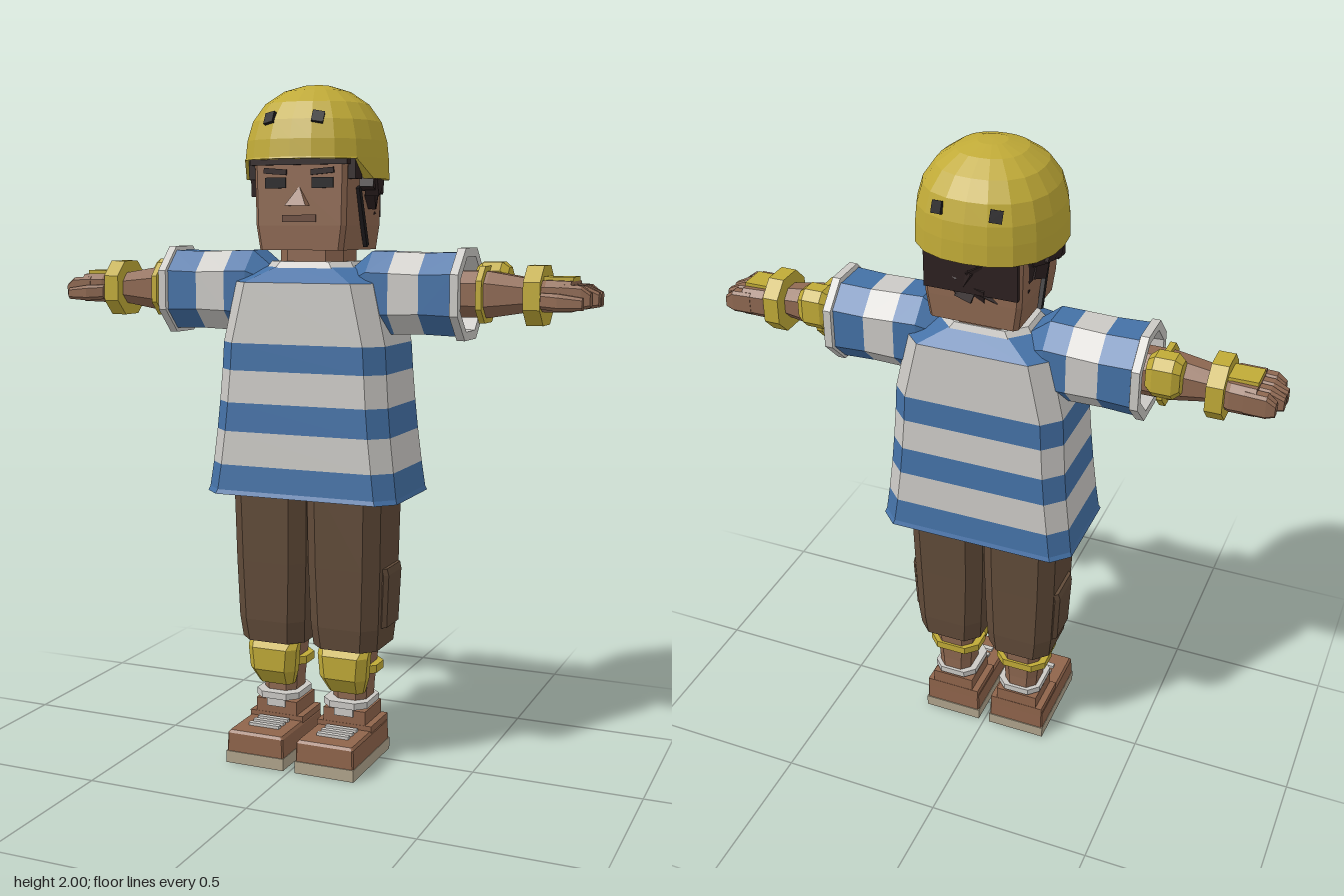
import * as THREE from 'three';

function mat(name, color) {
  const m = new THREE.MeshStandardMaterial({ color, flatShading: true, side: THREE.DoubleSide });
  m.name = name;
  return m;
}

// Eight-sided ring: a rectangle with cut corners, at height y
function oct(y, hx, hz, c, cx = 0, cz = 0) {
  const a = hx - c, b = hz - c;
  return [[hx, -b], [hx, b], [a, hz], [-a, hz], [-hx, b], [-hx, -b], [-a, -hz], [a, -hz]]
    .map(([x, z]) => [x + cx, y, z + cz]);
}

// Skin a stack of rings (bottom to top); mats may be one material or one per band
function loft(name, mats, rings, caps = true) {
  const pos = [], geo = new THREE.BufferGeometry(), n = rings[0].length;
  for (let i = 0; i < rings.length - 1; i++) {
    for (let j = 0; j < n; j++) {
      const k = (j + 1) % n;
      const a = rings[i][j], b = rings[i][k], c = rings[i + 1][k], d = rings[i + 1][j];
      pos.push(...a, ...d, ...c, ...a, ...c, ...b);
    }
    geo.addGroup(i * n * 6, n * 6, Array.isArray(mats) ? i : 0);
  }
  if (caps) {
    const start = pos.length / 3;
    [rings[0], rings[rings.length - 1]].forEach((r, top) => {
      const m = [0, 1, 2].map(q => r.reduce((s, p) => s + p[q], 0) / n);
      for (let j = 0; j < n; j++) {
        const k = (j + 1) % n;
        pos.push(...m, ...(top ? r[k] : r[j]), ...(top ? r[j] : r[k]));
      }
    });
    geo.addGroup(start, n * 6, 0);
  }
  geo.setAttribute('position', new THREE.Float32BufferAttribute(pos, 3));
  geo.computeVertexNormals();
  const mesh = new THREE.Mesh(geo, Array.isArray(mats) ? mats : [mats]);
  mesh.name = name;
  return mesh;
}

function box(name, m, w, h, d, x, y, z) {
  const mesh = new THREE.Mesh(new THREE.BoxGeometry(w, h, d), m);
  mesh.name = name;
  mesh.position.set(x, y, z);
  return mesh;
}

export function createModel() {
  const skin = mat('skin', 0x8e6851), yellow = mat('pad yellow', 0xc0aa37), blue = mat('shirt blue', 0x4471a6);
  const white = mat('shirt white', 0xcbc9c5), brown = mat('trouser brown', 0x614b39), hairMat = mat('hair', 0x2c2020);
  const sole = mat('sole beige', 0xb0a48c), shoeMat = mat('shoe brown', 0x8f644b), black = mat('black', 0x1c1a1c);
  const lip = mat('mouth brown', 0x6c4b3c);
  const model = new THREE.Group();
  model.name = 'figure';

  // Head and face
  const head = new THREE.Group();
  head.name = 'head';
  model.add(head);
  head.add(loft('skull', skin, [oct(1.53, 0.13, 0.14, 0.012, 0, -0.012), oct(1.6, 0.14, 0.143, 0.012, 0, -0.012),
    oct(1.82, 0.145, 0.143, 0.012, 0, -0.012)]));
  head.add(loft('neck', skin, [oct(1.44, 0.1, 0.09, 0.04, 0, -0.01), oct(1.54, 0.1, 0.09, 0.04, 0, -0.01)]));
  const nose = new THREE.Mesh(new THREE.ConeGeometry(0.04, 0.055, 4, 1, false, Math.PI / 4), skin);
  nose.name = 'nose';
  nose.position.set(0, 1.683, 0.13);
  nose.scale.set(1.15, 1, 1.15);
  head.add(nose);
  head.add(box('mouth', lip, 0.105, 0.02, 0.008, 0, 1.62, 0.131));
  for (const s of [-1, 1]) {
    head.add(box('eye', black, 0.065, 0.03, 0.008, s * 0.073, 1.72, 0.131));
    const brow = box('eyebrow', hairMat, 0.07, 0.016, 0.014, s * 0.073, 1.752, 0.131);
    brow.rotation.z = s * 0.08;
    head.add(brow);
    const strap = box('chinStrap', black, 0.012, 0.18, 0.018, s * 0.146, 1.625, 0.012);
    strap.rotation.x = 0.36;
    head.add(strap);
  }

  // Helmet: squarish dome, cut higher at the forehead
  const N = 20;
  const dome = (r, yOf) => Array.from({ length: N }, (_, j) => {
    const a = (j / N) * Math.PI * 2, c = Math.cos(a), s = Math.sin(a);
    const k = r / Math.pow(Math.abs(c) ** 2.35 + Math.abs(s) ** 2.35, 1 / 2.35);
    return [k * c, yOf(k * s), k * s - 0.003];
  });
  const rim = z => (z > 0.068 ? 1.785 : 1.732);
  const profile = [[0.203, 1.79], [0.198, 1.84], [0.182, 1.895], [0.147, 1.945], [0.095, 1.981], [0.04, 1.998], [0.005, 2]];
  head.add(loft('helmet', yellow, [dome(0.165, () => 1.79), dome(0.17, rim), dome(0.205, rim),
    ...profile.map(([r, y]) => dome(r, () => y))]));
  for (const s of [-1, 1]) for (const [x, y, z, tilt] of [[0.072, 1.897, 0.163, -0.5], [0.08, 1.865, -0.178, 0.42]]) {
    const vent = box('helmetVent', black, 0.034, 0.034, 0.02, s * x, y, z);
    vent.rotation.set(tilt, s * Math.sign(z) * 0.35, 0);
    head.add(vent);
  }

  // Hair: rows of curls round the back, shorter rows lower down
  const hair = new THREE.Group();
  hair.name = 'hair';
  head.add(hair);
  hair.add(box('hairBase', hairMat, 0.27, 0.15, 0.04, 0, 1.7, -0.145));
  let seed = 7;
  const rnd = () => (seed = (seed * 16807) % 2147483647) / 2147483647 - 0.5;
  for (const [y, span, rx, rz, count] of [[1.72, 1.75, 0.172, 0.142, 17], [1.675, 1.2, 0.155, 0.142, 12], [1.63, 0.85, 0.14, 0.14, 8]]) {
    for (let i = 0; i < count; i++) {
      const a = (i / (count - 1) * 2 - 1) * span;
      const curl = box('curl', hairMat, 0.05, 0.05, 0.04, Math.sin(a) * rx, y + rnd() * 0.02, -Math.cos(a) * rz);
      curl.rotation.set(rnd() * 1.2, -a + rnd(), rnd() * 1.4);
      hair.add(curl);
    }
  }
  hair.add(box('fringe', hairMat, 0.3, 0.03, 0.03, 0, 1.785, 0.125));
  for (const s of [-1, 1]) hair.add(box('sideburn', hairMat, 0.03, 0.06, 0.05, s * 0.15, 1.76, 0.09));

  // Striped shirt, open below
  const shirt = [[0.812, 0.302, 0.183], [0.825, 0.297, 0.178], [0.9, 0.287, 0.173], [1.0, 0.275, 0.17], [1.085, 0.267, 0.167],
    [1.18, 0.26, 0.163], [1.26, 0.255, 0.162], [1.437, 0.215, 0.157], [1.485, 0.13, 0.1]];
  model.add(loft('shirt', [blue, blue, white, blue, white, blue, white, blue],
    shirt.map(([y, x, z]) => oct(y, x, z, 0.05, 0, -0.004)), false));
  model.add(loft('collar', white, [oct(1.478, 0.138, 0.108, 0.05, 0, -0.004), oct(1.497, 0.125, 0.1, 0.05, 0, -0.004)]));
  model.add(loft('hips', brown, [oct(0.8, 0.2, 0.115, 0.04), oct(0.95, 0.21, 0.12, 0.04)]));

  for (const side of [1, -1]) {
    const half = new THREE.Group();
    half.name = side > 0 ? 'leftLimbs' : 'rightLimbs';
    half.scale.x = side;
    model.add(half);

    // Arm, built upright and laid out sideways
    const arm = new THREE.Group();
    arm.name = 'arm';
    arm.position.set(0, 1.408, -0.008);
    arm.rotation.z = -Math.PI / 2;
    half.add(arm);
    arm.add(loft('sleeve', [blue, blue, white, blue], [oct(0.12, 0.065, 0.08, 0.035), oct(0.19, 0.12, 0.108, 0.06),
      oct(0.258, 0.118, 0.11, 0.06), oct(0.35, 0.115, 0.112, 0.06), oct(0.45, 0.118, 0.115, 0.06)], false));
    arm.add(loft('cuff', white, [oct(0.442, 0.118, 0.112, 0.066), oct(0.446, 0.13, 0.125, 0.072), oct(0.47, 0.13, 0.125, 0.072),
      oct(0.47, 0.105, 0.1, 0.06), oct(0.4, 0.1, 0.098, 0.058)], false));
    arm.add(loft('forearm', skin, [oct(0.38, 0.065, 0.06, 0.035), oct(0.53, 0.065, 0.057, 0.033), oct(0.67, 0.042, 0.045, 0.024)]));
    arm.add(loft('elbowStrap', yellow, [oct(0.505, 0.08, 0.076, 0.04), oct(0.522, 0.08, 0.076, 0.04)]));
    arm.add(loft('elbowPad', yellow, [oct(0.475, 0.045, 0.035, 0.02, -0.03, -0.055), oct(0.495, 0.06, 0.048, 0.025, -0.03, -0.055),
      oct(0.55, 0.06, 0.048, 0.025, -0.03, -0.055), oct(0.57, 0.045, 0.035, 0.02, -0.03, -0.055)]));
    arm.add(loft('wristGuard', yellow, [oct(0.64, 0.083, 0.083, 0.045, 0, -0.005), oct(0.688, 0.083, 0.083, 0.045, 0, -0.005)]));
    arm.add(box('handPlate', yellow, 0.012, 0.09, 0.08, -0.047, 0.725, -0.005));
    arm.add(loft('palm', skin, [oct(0.65, 0.038, 0.05, 0.018), oct(0.7, 0.044, 0.075, 0.018), oct(0.77, 0.042, 0.078, 0.018)]));
    for (let f = 0; f < 4; f++) {
      const z = -0.058 + f * 0.039, tip = f === 0 || f === 3 ? 0.825 : 0.84;
      arm.add(loft('finger', skin, [oct(0.74, 0.034, 0.02, 0.008, 0, z), oct(0.8, 0.033, 0.02, 0.008, 0.002, z),
        oct(tip, 0.02, 0.015, 0.007, 0.008, z)]));
    }
    arm.add(loft('thumb', skin, [oct(0.69, 0.022, 0.02, 0.008, 0.012, 0.065), oct(0.74, 0.024, 0.024, 0.01, 0.015, 0.078),
      oct(0.808, 0.017, 0.016, 0.007, 0.018, 0.08)]));

    // Trouser leg and side pocket
    const leg = new THREE.Group();
    leg.name = 'leg';
    half.add(leg);
    leg.add(loft('trouserLeg', brown, [oct(0.352, 0.102, 0.11, 0.04, 0.117, -0.006), oct(0.42, 0.108, 0.117, 0.04, 0.118, -0.004),
      oct(0.6, 0.114, 0.12, 0.04, 0.118, -0.002), oct(0.86, 0.118, 0.126, 0.04, 0.119, -0.002)]));
    leg.add(loft('pocket', brown, [oct(0.42, 0.028, 0.062, 0.012, 0.212, -0.012), oct(0.58, 0.028, 0.066, 0.012, 0.219, -0.012),
      oct(0.6, 0.02, 0.068, 0.012, 0.222, -0.012)]));

    // Shin, knee pad and sock
    leg.add(loft('shin', skin, [oct(0.13, 0.05, 0.058, 0.025, 0.115, -0.015), oct(0.22, 0.055, 0.058, 0.025, 0.115, -0.015),
      oct(0.38, 0.07, 0.068, 0.03, 0.115, -0.015)]));
    leg.add(loft('kneePad', yellow, [oct(0.212, 0.055, 0.025, 0.015, 0.115, 0.04), oct(0.262, 0.074, 0.04, 0.025, 0.115, 0.062),
      oct(0.33, 0.08, 0.04, 0.025, 0.115, 0.064), oct(0.352, 0.08, 0.028, 0.018, 0.115, 0.052)]));
    leg.add(loft('kneeStrap', yellow, [oct(0.268, 0.083, 0.065, 0.035, 0.115, -0.02), oct(0.292, 0.083, 0.065, 0.035, 0.115, -0.02)]));
    leg.add(loft('sockCuff', white, [oct(0.165, 0.07, 0.079, 0.03, 0.112, -0.004), oct(0.185, 0.07, 0.079, 0.03, 0.112, -0.004)]));

    // Shoe
    leg.add(box('sole', sole, 0.187, 0.036, 0.3, 0.112, 0.018, 0.065));
    leg.add(loft('shoe', shoeMat, [oct(0.036, 0.092, 0.147, 0.004, 0.112, 0.065), oct(0.092, 0.09, 0.146, 0.004, 0.112, 0.065),
      oct(0.1, 0.084, 0.14, 0.004, 0.112, 0.065)]));
    leg.add(box('shoeHeel', shoeMat, 0.176, 0.03, 0.14, 0.112, 0.1, -0.012));
    leg.add(box('shoeAnkle', shoeMat, 0.135, 0.06, 0.138, 0.112, 0.127, -0.012));
    leg.add(box('tongue', white, 0.06, 0.025, 0.02, 0.112, 0.15, 0.052));
    for (let i = 0; i < 3; i++) leg.add(box('lace', white, 0.1, 0.012, 0.016, 0.112, 0.103, 0.078 + i * 0.032));
  }
  return model;
}
